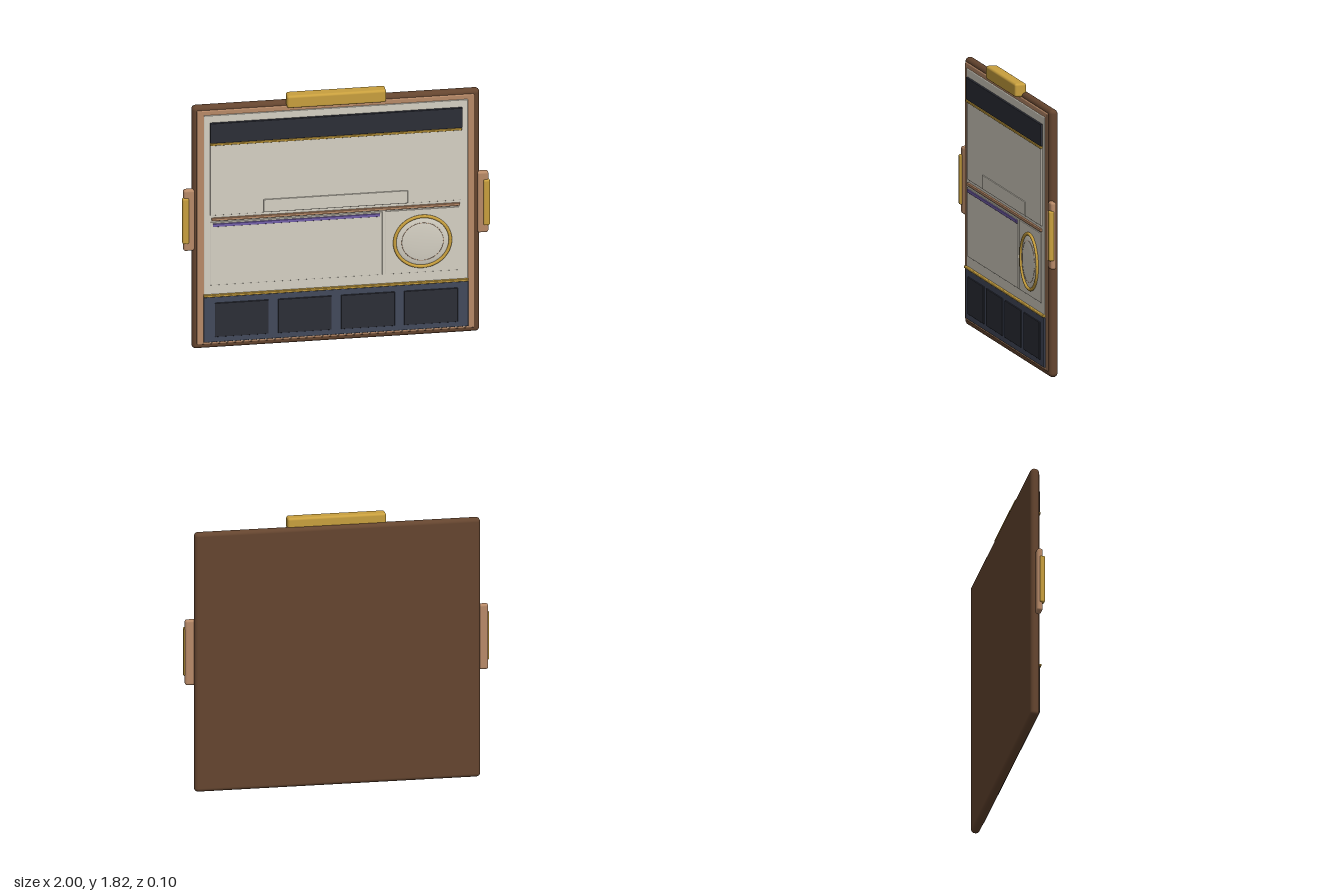
import * as THREE from 'three';
import { RoundedBoxGeometry } from 'three/addons/geometries/RoundedBoxGeometry.js';

const material = (name, color) => {
  const m = new THREE.MeshStandardMaterial({ color });
  m.name = name;
  return m;
};

export function createModel() {
  const brown = material('dark wood', 0x65452f);
  const copper = material('copper', 0xb88a68);
  const ivory = material('ivory', 0xd6d1c4);
  const navy = material('slate blue', 0x434a5c);
  const dark = material('charcoal', 0x2c2e37);
  const gold = material('gold', 0xc9a03e);
  const violet = material('violet', 0x7460ac);

  const model = new THREE.Group();
  model.name = 'wallPanel';

  const add = (name, geometry, mat, x = 0, y = 0, z = 0) => {
    const mesh = new THREE.Mesh(geometry, mat);
    mesh.name = name;
    mesh.position.set(x, y, z);
    model.add(mesh);
    return mesh;
  };
  // Box given by its extents; a radius rounds the edges
  const box = (name, mat, [x0, x1], [y0, y1], [z0, z1], radius = 0) => {
    const size = [x1 - x0, y1 - y0, z1 - z0];
    const geometry = radius
      ? new RoundedBoxGeometry(...size, 4, radius)
      : new THREE.BoxGeometry(...size);
    return add(name, geometry, mat, (x0 + x1) / 2, (y0 + y1) / 2, (z0 + z1) / 2);
  };

  // Stacked backing layers
  box('backFrame', brown, [-0.935, 0.935], [0, 1.757], [-0.051, 0.007], 0.026);
  box('copperBorder', copper, [-0.905, 0.9], [0.035, 1.73], [-0.02, 0.014], 0.008);
  box('ivoryFace', ivory, [-0.86, 0.858], [0.05, 1.697], [0, 0.02], 0.005);

  // Header and upper panel
  box('headerBand', dark, [-0.822, 0.82], [1.5, 1.645], [0.015, 0.035], 0.004);
  box('headerTrim', gold, [-0.822, 0.816], [1.484, 1.499], [0.015, 0.038], 0.004);
  box('upperPanel', ivory, [-0.82, 0.812], [0.975, 1.482], [0.015, 0.028], 0.003);
  box('upperLedge', ivory, [-0.472, 0.465], [0.978, 1.07], [0.02, 0.034], 0.003);
  box('middleTrim', copper, [-0.81, 0.805], [0.936, 0.955], [0.015, 0.034], 0.004);

  // Lower panels
  box('lowerPanel', ivory, [-0.818, 0.3], [0.468, 0.925], [0.015, 0.026], 0.003);
  box('violetStrip', violet, [-0.803, 0.285], [0.893, 0.915], [0.02, 0.034], 0.004);
  box('dialPlate', ivory, [0.32, 0.8], [0.468, 0.925], [0.015, 0.026], 0.003);

  // Round dial: gold ring, shallow dome and fine inner groove
  const [dx, dy] = [0.56, 0.695];
  const ring = add('dialRing', new THREE.TorusGeometry(0.181, 0.011, 12, 64), gold, dx, dy, 0.032);
  ring.scale.z = 0.9;
  const dome = add('dialDome', new THREE.SphereGeometry(0.175, 48, 16, 0, Math.PI * 2, 0, Math.PI / 2), ivory, dx, dy, 0.025);
  dome.rotation.x = Math.PI / 2;
  dome.scale.y = 0.1;
  add('dialGroove', new THREE.TorusGeometry(0.135, 0.0015, 6, 64), copper, dx, dy, 0.036);

  // Bottom band with four slots
  box('bottomBand', navy, [-0.862, 0.86], [0.055, 0.382], [0.01, 0.026], 0.004);
  box('bottomTrim', gold, [-0.862, 0.86], [0.384, 0.401], [0.01, 0.035], 0.005);
  for (let i = 0; i < 4; i++) {
    const x = -0.615 + i * 0.41;
    box('bottomSlot', dark, [x - 0.175, x + 0.175], [0.095, 0.34], [0.02, 0.034], 0.004);
  }

  // Top clasp
  box('topClasp', gold, [-0.323, 0.321], [1.728, 1.817], [-0.025, 0.053], 0.015);

  // Side lugs with gold grips
  for (const side of [-1, 1]) {
    const span = (a, b) => (side > 0 ? [a, b] : [-b, -a]);
    box('sideLug', copper, span(0.92, 0.992), [0.72, 1.162], [-0.022, 0.017], 0.015);
    box('sideGrip', gold, span(0.958, 1), [0.778, 1.106], [-0.004, 0.03], 0.01);
  }
  return model;
}
